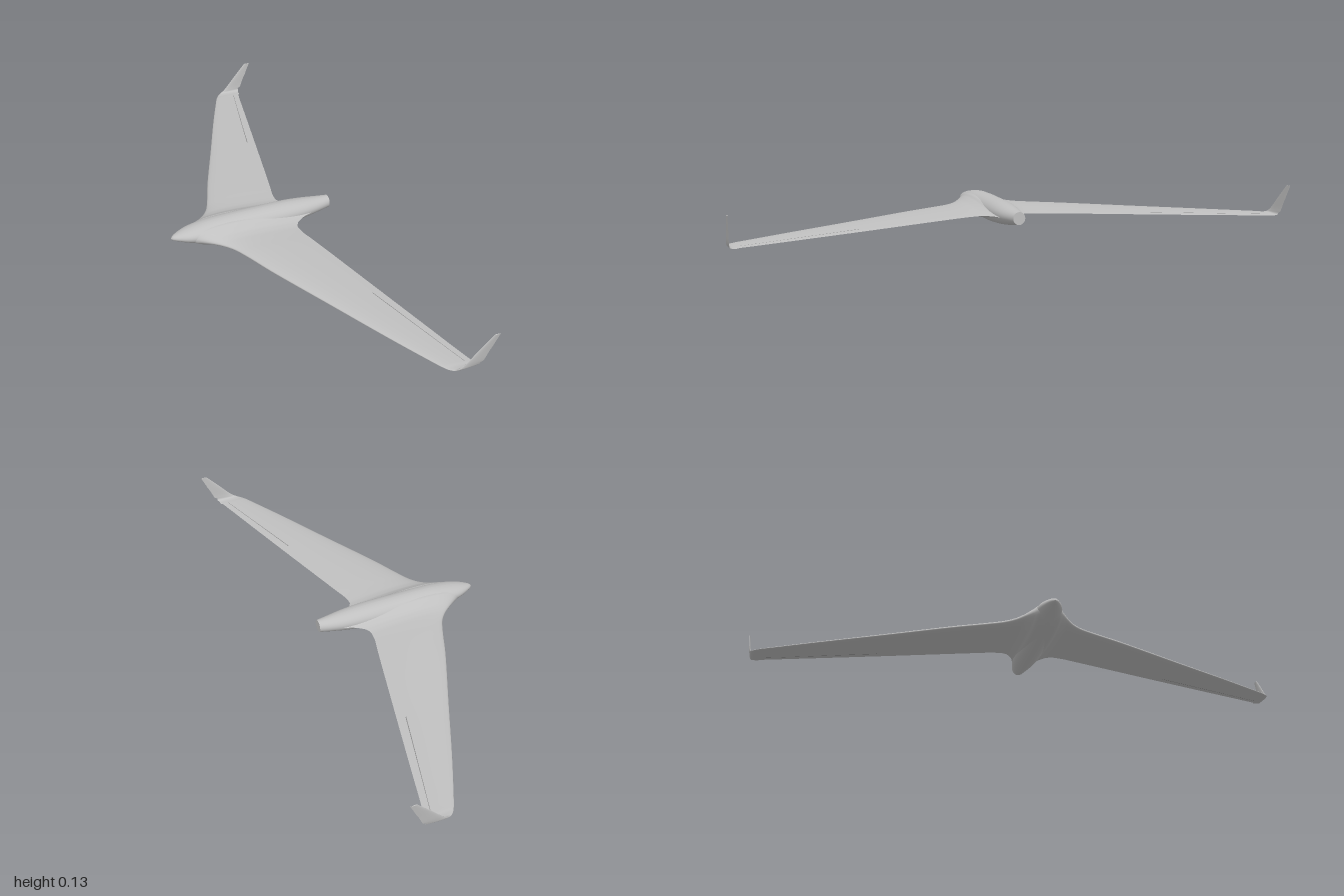
import * as THREE from 'three';

const skin = new THREE.MeshStandardMaterial({ color: 0xc0c0c0 });
skin.name = 'light grey skin';
const gap = new THREE.MeshStandardMaterial({ color: 0x8a8a8a });
gap.name = 'hinge gap grey';

// Joins equal-length rows of points into a smooth surface, with an optional flat end cap.
function loft(name, rows, material, flip = false, cap = false) {
  const pos = [], index = [], n = rows[0].length;
  const tri = (a, b, c) => (flip ? index.push(a, c, b) : index.push(a, b, c));
  rows.forEach(row => row.forEach(p => pos.push(p.x, p.y, p.z)));
  for (let i = 0; i < rows.length - 1; i++) {
    for (let j = 0; j < n - 1; j++) {
      const a = i * n + j, b = a + n;
      tri(a, a + 1, b);
      tri(a + 1, b + 1, b);
    }
  }
  if (cap) {
    const last = rows[rows.length - 1], base = pos.length / 3;
    const c = new THREE.Vector3();
    last.forEach(p => { c.addScaledVector(p, 1 / n); pos.push(p.x, p.y, p.z); });
    pos.push(c.x, c.y, c.z);
    for (let j = 0; j < n - 1; j++) tri(base + n, base + j, base + j + 1);
  }
  const g = new THREE.BufferGeometry();
  g.setAttribute('position', new THREE.Float32BufferAttribute(pos, 3));
  g.setIndex(index);
  g.computeVertexNormals();
  const mesh = new THREE.Mesh(g, material);
  mesh.name = name;
  return mesh;
}

// Fuselage stations: x, top, bottom, half width
const BODY = [
  [-0.36, 0.046, 0.044, 0.001], [-0.354, 0.053, 0.039, 0.009], [-0.335, 0.061, 0.033, 0.022],
  [-0.3, 0.071, 0.022, 0.038], [-0.25, 0.08, 0.011, 0.048], [-0.2, 0.086, 0.006, 0.05],
  [-0.14, 0.088, 0.003, 0.05], [-0.03, 0.088, 0, 0.05], [0.08, 0.086, 0.005, 0.048],
  [0.15, 0.081, 0.012, 0.042], [0.21, 0.075, 0.021, 0.031], [0.25, 0.072, 0.027, 0.022],
];

function fuselage() {
  const top = new THREE.CatmullRomCurve3(BODY.map(s => new THREE.Vector3(s[0], s[1], s[3])));
  const low = new THREE.CatmullRomCurve3(BODY.map(s => new THREE.Vector3(s[0], s[2], s[3])));
  const rows = [];
  for (let i = 0; i <= 66; i++) {
    const t = top.getPoint(i / 66), b = low.getPoint(i / 66), row = [];
    for (let j = 0; j <= 48; j++) {
      const a = (j / 48) * Math.PI * 2, c = Math.cos(a);
      row.push(new THREE.Vector3(
        (t.x + b.x) / 2, (t.y + b.y) / 2 + c * (t.y - b.y) / 2, Math.sin(a) * t.z));
    }
    rows.push(row);
  }
  return loft('fuselage', rows, skin, false, true);
}

// Wing stations: z, mid height, leading x, trailing x, thickness, tilt in radians
const WING = [
  [0, 0.042, -0.3, 0.2, 0.078, 0], [0.035, 0.042, -0.29, 0.175, 0.073, 0],
  [0.05, 0.041, -0.27, 0.135, 0.057, 0], [0.075, 0.039, -0.235, 0.098, 0.037, 0],
  [0.1, 0.037, -0.205, 0.087, 0.03, 0], [0.135, 0.036, -0.177, 0.09, 0.027, 0],
  [0.19, 0.035, -0.151, 0.104, 0.025, 0], [0.3, 0.032, -0.107, 0.131, 0.023, 0],
  [0.54, 0.025, 0, 0.189, 0.018, 0], [0.765, 0.019, 0.1, 0.243, 0.013, 0],
  [0.9, 0.0155, 0.163, 0.275, 0.01, 0], [0.955, 0.0145, 0.19, 0.289, 0.008, 0],
  [0.975, 0.0145, 0.204, 0.295, 0.007, 0.2], [0.986, 0.018, 0.219, 0.301, 0.006, 0.8],
  [0.99, 0.03, 0.239, 0.311, 0.005, 1.4], [0.9945, 0.08, 0.287, 0.335, 0.004, 1.47],
  [0.9985, 0.13, 0.335, 0.358, 0.003, 1.47],
];
const LEAD = new THREE.CatmullRomCurve3(WING.map(s => new THREE.Vector3(s[2], s[1], s[0])));
const TRAIL = new THREE.CatmullRomCurve3(WING.map(s => new THREE.Vector3(s[3], s[4], s[5])));

// Point on the wing skin at span station s and angle a around the airfoil
function wingPoint(s, a, side, lift = 0) {
  const t = s / (WING.length - 1);
  const l = LEAD.getPoint(t), r = TRAIL.getPoint(t);
  const f = (1 + Math.cos(a)) / 2, sign = Math.sin(a) >= 0 ? 1 : -1;
  const half = 5 * (0.2969 * Math.sqrt(f) - 0.126 * f - 0.3516 * f ** 2
    + 0.2843 * f ** 3 - 0.1036 * f ** 4);
  const h = sign * (half * r.y + lift);
  return new THREE.Vector3(
    l.x + (r.x - l.x) * f, l.y + h * Math.cos(r.z), side * (l.z - h * Math.sin(r.z)));
}

function wing(side) {
  const g = new THREE.Group();
  g.name = side > 0 ? 'leftWing' : 'rightWing';
  const rows = (from, to, steps, angles, lift) => Array.from({ length: steps + 1 }, (_, i) => {
    const s = from + (to - from) * i / steps;
    return angles(i / steps).map(a => wingPoint(s, a, side, lift));
  });
  const ring = () => Array.from({ length: 41 }, (_, j) => (j / 40) * Math.PI * 2);
  const flip = side < 0;
  g.add(loft('wingPanel', rows(0, 12, 72, ring), skin, flip));
  g.add(loft('winglet', rows(12, 16, 28, ring), skin, flip, true));

  // Elevon hinge lines on both faces
  const fractions = k => [0.84 - 0.06 * k, 0.825 - 0.06 * k].map(f => Math.acos(2 * f - 1));
  const under = k => fractions(k).reverse().map(a => Math.PI * 2 - a);
  g.add(loft('upperHingeLine', rows(8, 11, 24, fractions, 0.0004), gap, flip));
  g.add(loft('lowerHingeLine', rows(8, 11, 24, under, 0.0004), gap, flip));
  return g;
}

export function createModel() {
  const model = new THREE.Group();
  model.name = 'flyingWing';
  model.add(fuselage(), wing(1), wing(-1));
  return model;
}
